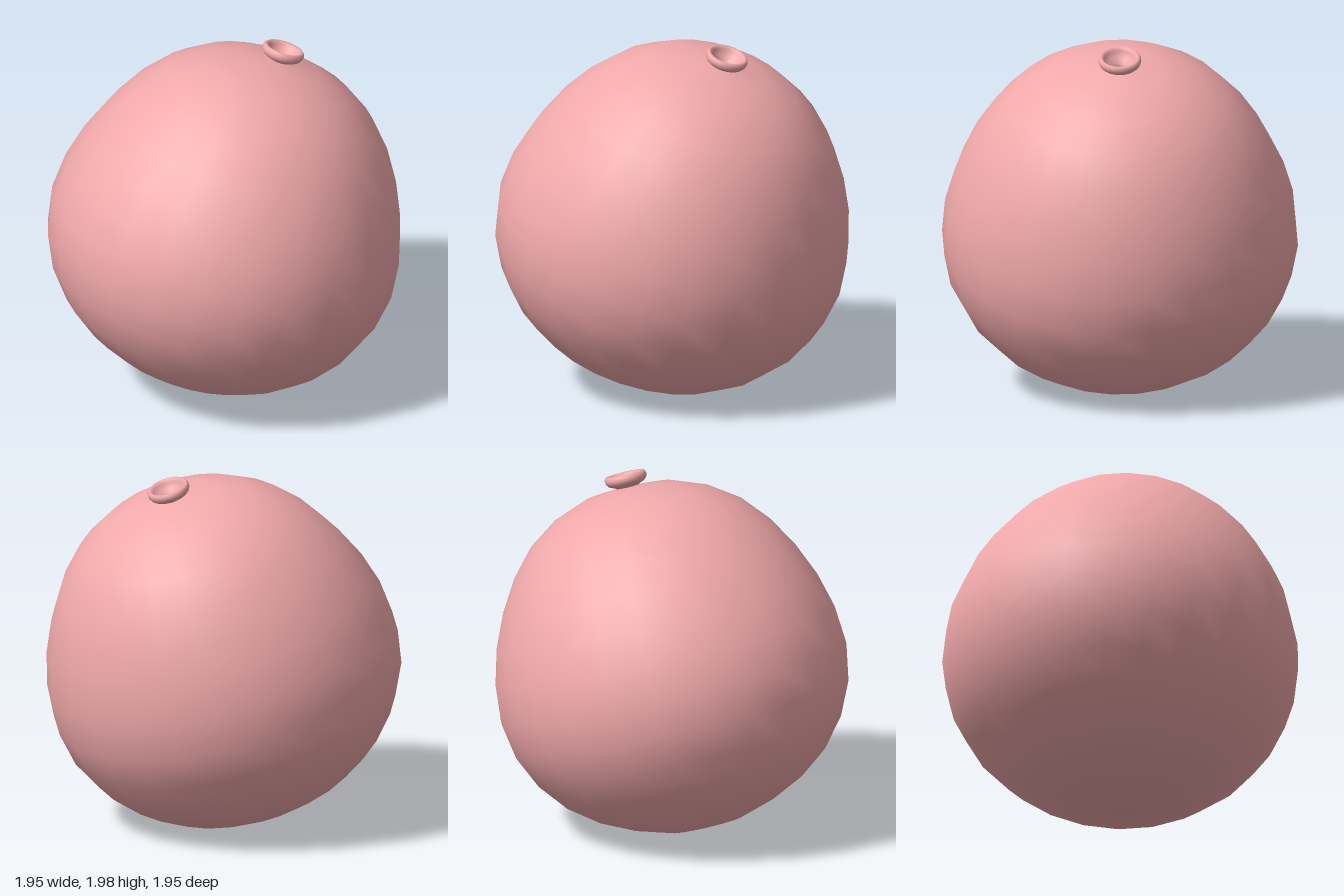
import * as THREE from 'three';

const SIDES = 24;

// Smooth lathe from a [radius, height] profile running bottom to top outside
function lathe(name, profile, steps, sides, material) {
  const curve = new THREE.SplineCurve(profile.map(([r, h]) => new THREE.Vector2(r, h)));
  const points = curve.getSpacedPoints(steps);
  points.forEach(p => { p.x = Math.max(p.x, 0); });
  const mesh = new THREE.Mesh(new THREE.LatheGeometry(points, sides), material);
  mesh.name = name;
  return mesh;
}

export function createModel() {
  const group = new THREE.Group();
  group.name = 'balloon';
  const rubber = new THREE.MeshStandardMaterial({ color: 0xf0a8aa });

  // Round body, a little longer towards the neck, open at the neck
  const body = lathe('body', [
    [0, -0.865], [0.16, -0.855], [0.35, -0.805], [0.575, -0.70], [0.75, -0.563],
    [0.88, -0.39], [0.957, -0.2], [0.98, 0], [0.952, 0.208], [0.883, 0.42],
    [0.765, 0.65], [0.622, 0.83], [0.49, 0.937], [0.32, 1.02], [0.17, 1.055], [0.045, 1.065],
  ], 15, SIDES, rubber);

  // Flared neck with a rolled lip and a hollow throat
  const neck = lathe('neck', [
    [0.05, 1.05], [0.065, 1.066], [0.1, 1.082], [0.117, 1.105], [0.115, 1.128],
    [0.104, 1.138], [0.091, 1.13], [0.077, 1.105], [0.05, 1.077], [0.035, 1.06], [0.031, 1.04],
  ], 20, SIDES, rubber);

  // Lean the whole balloon along its axis
  const tilted = new THREE.Group();
  tilted.name = 'tiltedBalloon';
  tilted.add(body, neck);
  const axis = new THREE.Vector3(0.139, 0.946, -0.292).normalize();
  tilted.quaternion.setFromUnitVectors(new THREE.Vector3(0, 1, 0), axis);
  tilted.position.y = 0.88;
  group.add(tilted);
  return group;
}
